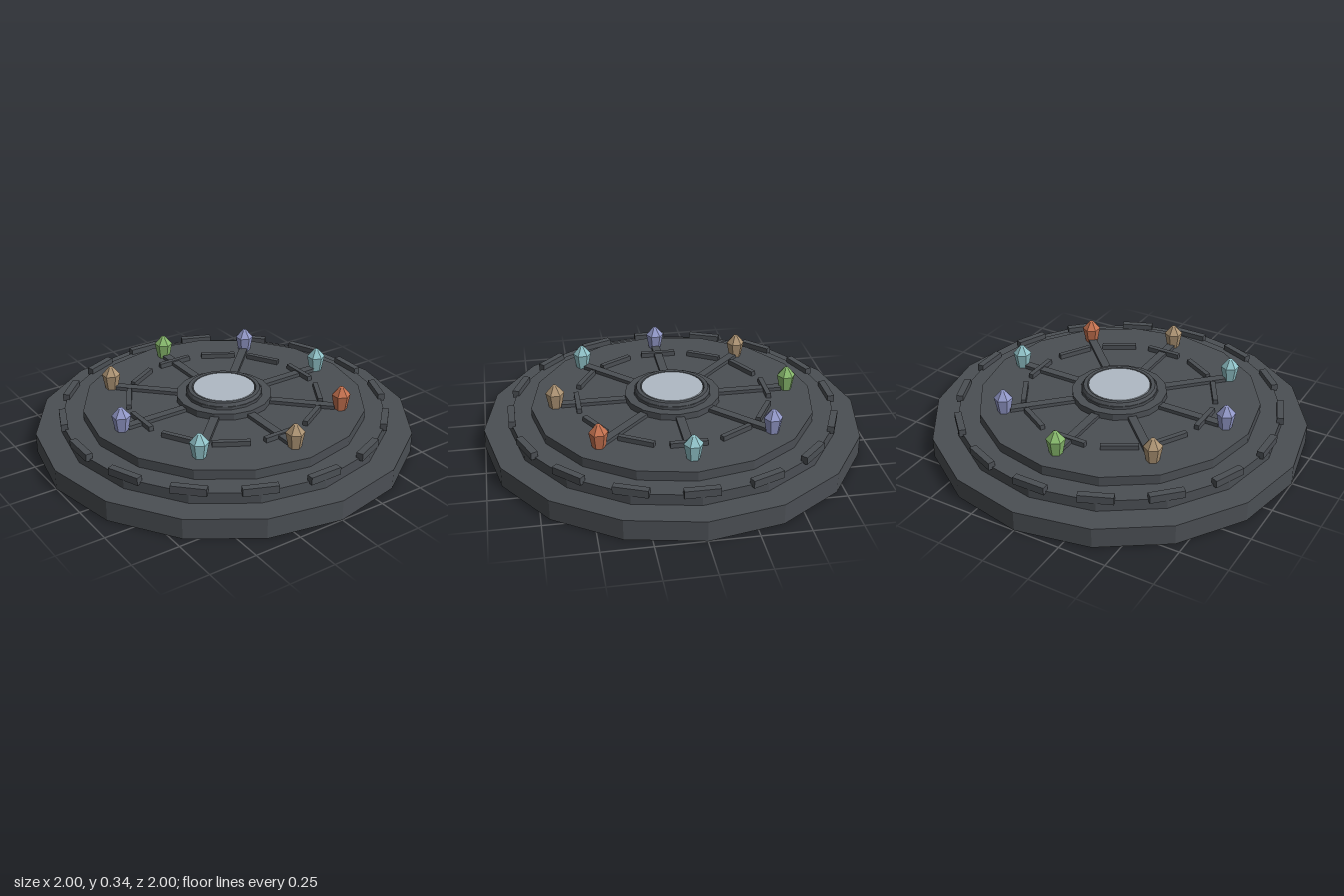
import * as THREE from 'three';

export function createModel() {
  const group = new THREE.Group();
  group.name = 'crystalDais';

  const material = (name, color, flatShading = true) => {
    const m = new THREE.MeshStandardMaterial({ color, flatShading });
    m.name = name;
    return m;
  };
  const stone = material('stone', 0x4b4f54);
  const pale = material('paleDisc', 0xb0bac4);
  const orange = material('orangeCrystal', 0xc4714f);
  const tan = material('tanCrystal', 0xac9373);
  const green = material('greenCrystal', 0x87b86c);
  const lilac = material('lilacCrystal', 0x9298c8);
  const cyan = material('cyanCrystal', 0x90c2c8);

  const add = (name, geometry, mat) => {
    const mesh = new THREE.Mesh(geometry, mat);
    mesh.name = name;
    group.add(mesh);
    return mesh;
  };
  // Faceted drum between two heights
  const drum = (name, radius, y0, y1, sides = 16, mat = stone) =>
    add(name, new THREE.CylinderGeometry(radius, radius, y1 - y0, sides).translate(0, (y0 + y1) / 2, 0), mat);
  // Boxes repeated around the centre, width running along the tangent
  const ringOfBoxes = (name, count, radius, width, depth, y0, y1) => {
    for (let i = 0; i < count; i++) {
      const box = new THREE.BoxGeometry(width, y1 - y0, depth).translate(0, (y0 + y1) / 2, radius);
      add(name, box, stone).rotation.y = (i * 2 * Math.PI) / count;
    }
  };

  // Stepped platform
  drum('baseTier', 1, 0, 0.108);
  drum('middleTier', 0.867, 0.108, 0.166);
  drum('upperTier', 0.747, 0.166, 0.217);

  // Raised stones on the rim, radial spokes and cross bars
  ringOfBoxes('rimBlock', 16, 0.852, 0.176, 0.036, 0.155, 0.195);
  ringOfBoxes('spoke', 8, 0.405, 0.045, 0.37, 0.21, 0.236);
  ringOfBoxes('crossBar', 12, 0.503, 0.19, 0.026, 0.21, 0.243);

  // Central hub with its rim and inset disc
  drum('hub', 0.253, 0.21, 0.252);
  drum('hubStep', 0.205, 0.252, 0.268);
  add('hubRim', new THREE.TorusGeometry(0.18, 0.02, 6, 24).rotateX(Math.PI / 2).translate(0, 0.267, 0), stone);
  drum('centralDisc', 0.163, 0.26, 0.284, 32, pale);

  // Crystals, starting at the front and turning towards the left
  const profile = [[0, 0.215], [0.033, 0.215], [0.049, 0.298], [0.012, 0.341], [0, 0.345]]
    .map(([r, y]) => new THREE.Vector2(r, y));
  const crystal = new THREE.LatheGeometry(profile, 6);
  [tan, orange, cyan, lilac, green, tan, lilac, cyan].forEach((mat, i) => {
    const a = (i * Math.PI) / 4;
    add('crystal', crystal, mat).position.set(0.62 * Math.sin(a), 0, 0.62 * Math.cos(a));
  });

  return group;
}
